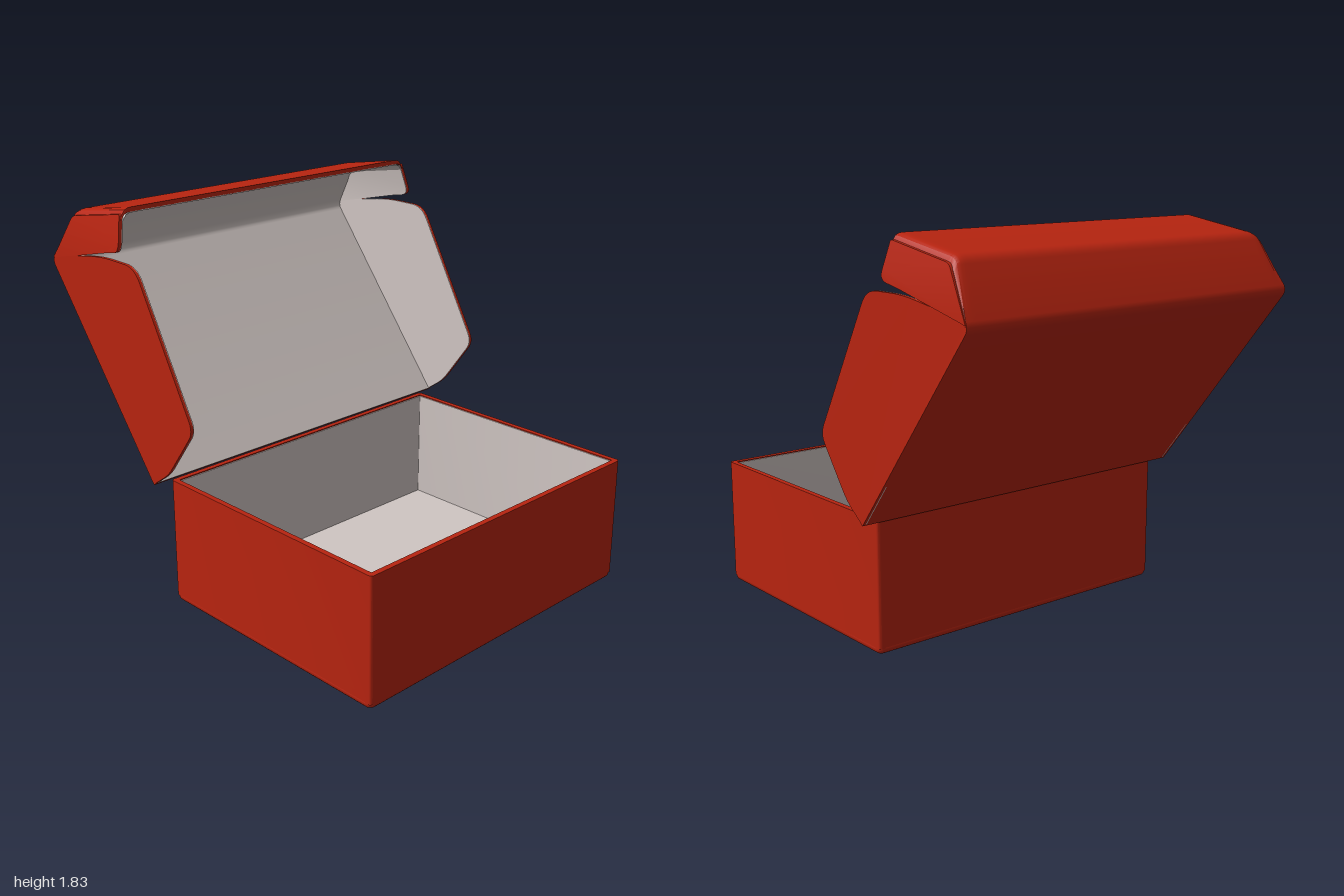
import * as THREE from 'three';
import { toCreasedNormals } from 'three/addons/utils/BufferGeometryUtils.js';

const clamp = THREE.MathUtils.clamp;

// Closed shape from [x, y, cornerRadius] points
function roundedShape(points) {
  const shape = new THREE.Shape();
  const n = points.length;
  points.forEach(([x, y, r = 0], i) => {
    const p = new THREE.Vector2(x, y);
    const toward = (q) => {
      const d = new THREE.Vector2(q[0], q[1]).sub(p);
      return p.clone().addScaledVector(d.normalize(), r);
    };
    const a = toward(points[(i + n - 1) % n]);
    const b = toward(points[(i + 1) % n]);
    if (i === 0) shape.moveTo(a.x, a.y);
    else shape.lineTo(a.x, a.y);
    if (r > 0) shape.quadraticCurveTo(x, y, b.x, b.y);
  });
  shape.closePath();
  return shape;
}

function rect(hx, hy, r) {
  return roundedShape([[-hx, -hy, r], [hx, -hy, r], [hx, hy, r], [-hx, hy, r]]);
}

// Mitred offset of an open profile to its left side
function offsetLine(points, t) {
  const normal = (a, b) => new THREE.Vector2(a[1] - b[1], b[0] - a[0]).normalize();
  return points.map((p, i) => {
    const n1 = normal(points[Math.max(i - 1, 0)], points[Math.max(i, 1)]);
    const last = points.length - 1;
    const n2 = normal(points[Math.min(i, last - 1)], points[Math.min(i + 1, last)]);
    const m = n1.clone().add(n2).normalize();
    const k = t / m.dot(n1);
    return [p[0] + m.x * k, p[1] + m.y * k, p[2]];
  });
}

// Lid profile in side coordinates (-z, y): hinge, fold, bend, lip
const lidLine = [[0.295, 0.605, 0], [1.005, 1.515, 0.03], [0.865, 1.768, 0.035], [0.485, 1.83, 0]];

// Distance below the front lip, and the lid's half width there
const lipDrop = (a, y) => clamp((1.83 - (a - 0.485) * 0.165 - y) / 0.17, 0, 1);
const halfWidth = (a, y) => 0.872 + 0.038 * lipDrop(a, y);

// Move each vertex by a rule
function reshape(geometry, rule) {
  const pos = geometry.attributes.position;
  const v = new THREE.Vector3();
  for (let i = 0; i < pos.count; i++) {
    v.fromBufferAttribute(pos, i);
    rule(v);
    pos.setXYZ(i, v.x, v.y, v.z);
  }
  return toCreasedNormals(geometry, 0.6);
}

// Folded sheet running across the lid between two depths
function lidSheet(t0, t1, inset) {
  const outline = [...offsetLine(lidLine, t0), ...offsetLine(lidLine, t1).reverse()];
  const g = new THREE.ExtrudeGeometry(roundedShape(outline), { depth: 2, steps: 100, bevelEnabled: false, curveSegments: 5 });
  g.translate(0, 0, -1).rotateY(Math.PI / 2);
  return reshape(g, (v) => {
    const e = clamp((Math.abs(v.x) - 0.94) / 0.06, 0, 1);
    const drop = lipDrop(-v.z, v.y);
    v.x *= halfWidth(-v.z, v.y) - inset;
    v.y -= 0.035 * (1 - Math.sqrt(1 - e * e)) * (1 - drop);
  });
}

// Upright plate following the lid's flared side, between two depths
function sidePlate(points, side, t0, t1) {
  const g = new THREE.ExtrudeGeometry(roundedShape(points), { depth: 1, bevelEnabled: false, curveSegments: 6 });
  g.translate(0, 0, -0.5).rotateY(Math.PI / 2);
  return reshape(g, (v) => {
    const depth = v.x * side > 0 ? t0 : t1;
    v.x = side * (halfWidth(-v.z, v.y) - depth);
  });
}

// Rectangular ring of walls, standing upright
function wallRing(hx, hz, r, t, y0, y1) {
  const shape = rect(hx, hz, r);
  shape.holes.push(rect(hx - t, hz - t, 0.004));
  const g = new THREE.ExtrudeGeometry(shape, { depth: y1 - y0, bevelEnabled: false, curveSegments: 5 });
  g.rotateX(-Math.PI / 2).translate(0, y0, 0.36);
  return toCreasedNormals(g, 0.6);
}

export function createModel() {
  const model = new THREE.Group();
  model.name = 'openBox';
  const red = new THREE.MeshStandardMaterial({ color: 0xb82410 });
  red.name = 'red card';
  const grey = new THREE.MeshStandardMaterial({ color: 0xd0c6c3 });
  grey.name = 'pale grey lining';

  const add = (parent, name, geometry, material) => {
    const mesh = new THREE.Mesh(geometry, material);
    mesh.name = name;
    parent.add(mesh);
    return mesh;
  };

  // Tray: base with rounded lower edge, walls, and lining
  const tray = new THREE.Group();
  tray.name = 'tray';
  model.add(tray);
  const base = new THREE.ExtrudeGeometry(rect(0.803, 0.618, 0.01), {
    depth: 0.008, bevelEnabled: true, bevelSize: 0.022, bevelThickness: 0.022, bevelSegments: 4, curveSegments: 5,
  });
  base.rotateX(-Math.PI / 2).translate(0, 0.022, 0.36);
  add(tray, 'trayBase', toCreasedNormals(base, 0.6), red);
  add(tray, 'trayWalls', wallRing(0.825, 0.64, 0.018, 0.026, 0.026, 0.61), red);
  add(tray, 'trayWallLining', wallRing(0.799, 0.614, 0.004, 0.005, 0.05, 0.605), grey);
  const floor = new THREE.BoxGeometry(1.594, 0.008, 1.224);
  floor.translate(0, 0.054, 0.36);
  add(tray, 'trayFloorLining', floor, grey);

  // Lid: panel folding over into the front lip
  const lid = new THREE.Group();
  lid.name = 'lid';
  model.add(lid);
  add(lid, 'lidPanelAndLip', lidSheet(0, 0.02, 0), red);
  add(lid, 'lidLining', lidSheet(0.019, 0.024, 0.012), grey);

  // Side flaps and the small ears of the lip
  const flap = [
    [0.297, 0.607, 0.01], [0.18, 0.69, 0.05], [-0.01, 0.945, 0.05], [0.355, 1.6, 0.07],
    [0.6, 1.603, 0.08], [0.975, 1.545, 0.02], [0.998, 1.508, 0.012],
  ];
  const ear = [
    [0.995, 1.525, 0.01], [0.858, 1.742, 0.025], [0.488, 1.805, 0.01],
    [0.458, 1.645, 0.045], [0.56, 1.628, 0.04], [0.96, 1.535, 0.01],
  ];
  for (const [label, side] of [['left', 1], ['right', -1]]) {
    add(lid, label + 'LidFlap', sidePlate(flap, side, 0, 0.014), red);
    add(lid, label + 'LidFlapLining', sidePlate(flap, side, 0.0135, 0.018), grey);
    add(lid, label + 'LipEar', sidePlate(ear, side, -0.003, 0.014), red);
    add(lid, label + 'LipEarLining', sidePlate(ear, side, 0.0135, 0.018), grey);
  }
  return model;
}
